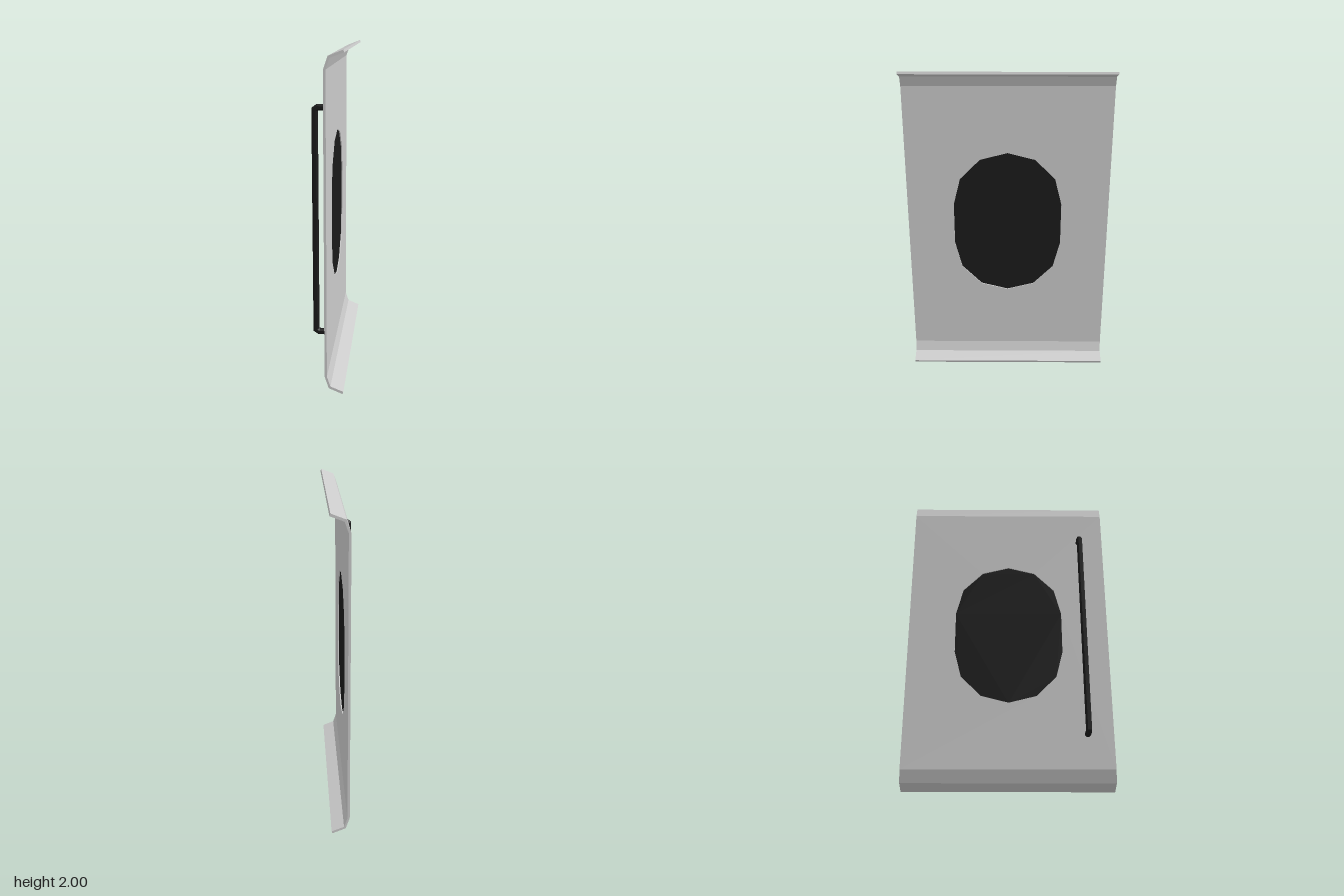
import * as THREE from 'three';

const HALF_WIDTH = 0.64;
const OUTER_X = -0.017, INNER_X = -0.003;

const grey = new THREE.MeshStandardMaterial({ color: 0xcccccc, flatShading: true });
const black = new THREE.MeshStandardMaterial({ color: 0x1a1a1a, flatShading: true, side: THREE.DoubleSide });

function addMesh(group, name, geometry, material) {
  const mesh = new THREE.Mesh(geometry, material);
  mesh.name = name;
  group.add(mesh);
  return mesh;
}

const toPoints = (list) => list.map(([x, y]) => new THREE.Vector2(x, y));

// Fourteen-sided oval, mirrored from one quarter (z, y offsets from the centre)
function windowOutline() {
  const quarter = [[0, 0.478], [0.172, 0.434], [0.299, 0.307], [0.343, 0.135]];
  const half = [...quarter, ...quarter.map(([z, y]) => [z, -y]).reverse()];
  const other = half.slice(1, -1).map(([z, y]) => [-z, y]).reverse();
  return toPoints([...half, ...other].map(([z, y]) => [z + 0.003, y + 1.003]));
}

// Tube along a bent path in the x-y plane, with mitred corners
function bentTube(path, radius, sides, z) {
  const pts = toPoints(path), pos = [], index = [];
  pts.forEach((p, i) => {
    const a = p.clone().sub(pts[Math.max(i - 1, 0)]).normalize();
    const b = pts[Math.min(i + 1, pts.length - 1)].clone().sub(p).normalize();
    const t = a.clone().add(b).normalize();
    const mitre = 1 / Math.max(t.dot(i ? a : b), 0.5);
    for (let k = 0; k < sides; k++) {
      const angle = ((k + 0.5) / sides) * Math.PI * 2;
      const r = radius / Math.cos(Math.PI / sides);
      const n = Math.cos(angle) * r * mitre;
      pos.push(p.x - t.y * n, p.y + t.x * n, z + Math.sin(angle) * r);
      if (i > 0) {
        const c = i * sides + k, d = i * sides + ((k + 1) % sides);
        index.push(c - sides, d - sides, c, d - sides, d, c);
      }
    }
  });
  const geometry = new THREE.BufferGeometry();
  geometry.setAttribute('position', new THREE.Float32BufferAttribute(pos, 3));
  geometry.setIndex(index);
  geometry.computeVertexNormals();
  return geometry;
}

export function createModel() {
  const door = new THREE.Group();
  door.name = 'slidingDoor';

  // Flat door panel with the window opening
  const panel = new THREE.Shape(toPoints([
    [-HALF_WIDTH, 0.11], [HALF_WIDTH, 0.11], [HALF_WIDTH, 1.897], [-HALF_WIDTH, 1.897],
  ]));
  panel.holes.push(new THREE.Path(windowOutline()));
  const panelGeometry = new THREE.ExtrudeGeometry(panel, { depth: INNER_X - OUTER_X, bevelEnabled: false });
  panelGeometry.rotateY(-Math.PI / 2).translate(INNER_X, 0, 0);
  addMesh(door, 'panel', panelGeometry, grey);

  // Bent flanges along the bottom and top edges
  const bend = [
    [OUTER_X, 0.11], [0.008, 0.034], [0.09, 0], [0.095, 0.015], [0.018, 0.046], [INNER_X, 0.11],
  ];
  for (const [name, mirror] of [['bottomFlange', false], ['topFlange', true]]) {
    const outline = bend.map(([x, y]) => [x, mirror ? 2 - y * (0.103 / 0.11) : y]);
    const geometry = new THREE.ExtrudeGeometry(new THREE.Shape(toPoints(outline)),
      { depth: HALF_WIDTH * 2, bevelEnabled: false });
    addMesh(door, name, geometry.translate(0, 0, -HALF_WIDTH), grey);
  }

  // Dark pane set inside the opening
  const pane = new THREE.ShapeGeometry(new THREE.Shape(windowOutline()));
  pane.rotateY(-Math.PI / 2).translate((OUTER_X + INNER_X) / 2, 0, 0);
  addMesh(door, 'windowPane', pane, black);

  // Long grab handle near one edge
  const handlePath = [
    [OUTER_X, 1.68], [-0.066, 1.68], [-0.083, 1.668],
    [-0.083, 0.338], [-0.066, 0.326], [OUTER_X, 0.326],
  ];
  addMesh(door, 'handle', bentTube(handlePath, 0.0175, 8, 0.481), black);

  return door;
}
